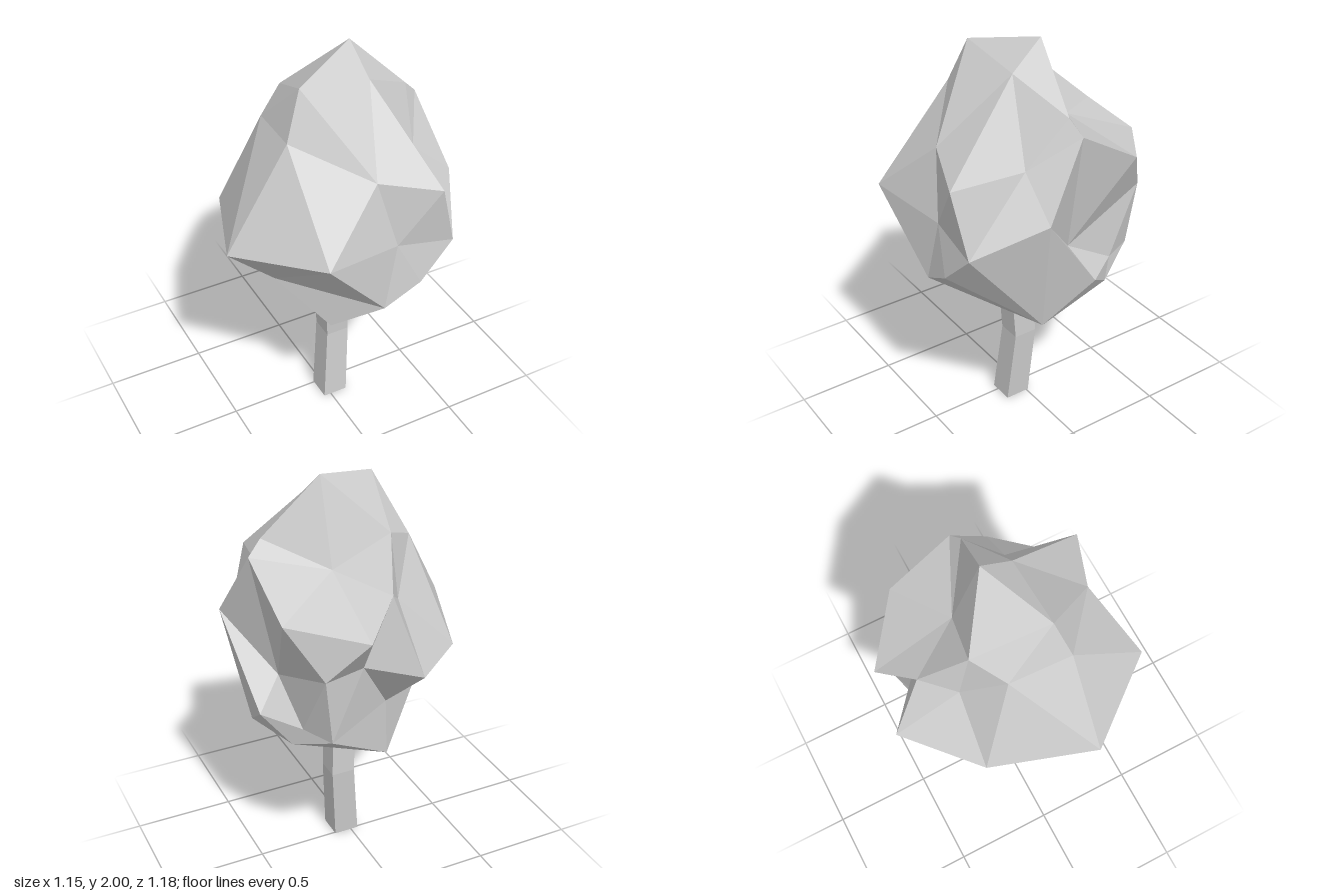
import * as THREE from 'three';
import { ConvexGeometry } from 'three/addons/geometries/ConvexGeometry.js';

// Corners of the faceted crown, from the top down
const CROWN = [
  [0.155, 2, -0.02], [-0.18, 1.92, 0.145], [0.17, 1.87, 0.14], [0.43, 1.73, 0.025],
  [-0.1, 1.75, -0.21], [-0.27, 1.7, 0.2], [-0.25, 1.68, -0.1], [0.5, 1.66, 0],
  [0.165, 1.6, -0.16], [0.035, 1.55, 0.455], [-0.005, 1.55, -0.42], [0.37, 1.5, 0.21],
  [0.315, 1.485, 0.56], [0.48, 1.46, -0.325], [-0.11, 1.45, -0.27], [0.165, 1.415, -0.56],
  [0.575, 1.325, 0.22], [-0.27, 1.27, 0.595], [0.12, 1.22, 0.51], [0.13, 1.22, -0.41],
  [0.34, 1.22, -0.463], [-0.58, 1.21, 0.205], [-0.08, 1.21, -0.59], [0.405, 1.17, 0.53],
  [-0.4, 1.16, -0.29], [0.385, 1.05, -0.02], [-0.315, 1.01, -0.14], [0.23, 1, 0.55],
  [-0.03, 0.96, -0.32], [0.05, 0.9, 0.535], [-0.3, 0.9, 0.1], [0.51, 0.9, -0.09],
  [0.375, 0.89, -0.28], [0.3, 0.885, -0.44], [0.12, 0.84, 0], [0.41, 0.79, -0.23],
  [-0.17, 0.74, 0.01], [0.457, 0.72, 0.17], [-0.125, 0.715, 0.34], [-0.045, 0.66, -0.31],
];

// Pairs of corners that must share an edge: the ridges and folds of the crown
const FOLDS = [[2, 12], [11, 23], [7, 25], [16, 31], [10, 19], [17, 30], [29, 30]];

// Swap the diagonal of two neighbouring triangles so that corners a and b are joined
function joinCorners(triangles, a, b) {
  if (triangles.some((t) => t.includes(a) && t.includes(b))) return;
  for (const t of triangles.filter((t) => t.includes(a))) {
    const i = t.indexOf(a), p = t[(i + 1) % 3], q = t[(i + 2) % 3];
    const u = triangles.find((o) => [b, p, q].every((k) => o.includes(k)));
    if (u) {
      t.splice(0, 3, a, p, b);
      u.splice(0, 3, b, q, a);
      return;
    }
  }
}

// Join the corners over a sphere, set the folds, then use the real corner places
function crownGeometry() {
  const centre = new THREE.Vector3(0.05, 1.25, 0.03);
  const dirs = CROWN.map((p) => new THREE.Vector3(...p).sub(centre).normalize());
  const pos = new ConvexGeometry(dirs).attributes.position;
  const v = new THREE.Vector3();
  const triangles = [];
  for (let i = 0; i < pos.count; i++) {
    v.fromBufferAttribute(pos, i);
    let best = 0;
    dirs.forEach((d, k) => { if (d.dot(v) > dirs[best].dot(v)) best = k; });
    if (i % 3 === 0) triangles.push([]);
    triangles.at(-1).push(best);
  }
  FOLDS.forEach(([a, b]) => joinCorners(triangles, a, b));

  const geometry = new THREE.BufferGeometry();
  const points = triangles.flat().flatMap((k) => CROWN[k]);
  geometry.setAttribute('position', new THREE.Float32BufferAttribute(points, 3));
  geometry.computeVertexNormals();
  return geometry;
}

// Square open trunk with a bend; each ring is height, centre x, centre z, width
function trunkGeometry() {
  const rings = [[0.9, 0.033, 0.05, 0.123], [0.4, 0.055, 0.025, 0.12], [0.005, 0.026, 0.055, 0.128]];
  const geometry = new THREE.CylinderGeometry(Math.SQRT1_2, Math.SQRT1_2, 2, 4, 2, true, Math.PI / 4);
  const pos = geometry.attributes.position;
  for (let i = 0; i < pos.count; i++) {
    const [y, x, z, w] = rings[1 - Math.round(pos.getY(i))];
    pos.setXYZ(i, x + pos.getX(i) * w, y, z + pos.getZ(i) * w);
  }
  geometry.computeVertexNormals();
  return geometry;
}

export function createModel() {
  const tree = new THREE.Group();
  tree.name = 'tree';
  const material = new THREE.MeshStandardMaterial({
    color: 0xcccccc, flatShading: true, side: THREE.DoubleSide,
  });
  const parts = { crown: crownGeometry(), trunk: trunkGeometry() };
  for (const [name, geometry] of Object.entries(parts)) {
    const mesh = new THREE.Mesh(geometry, material);
    mesh.name = name;
    tree.add(mesh);
  }
  return tree;
}
